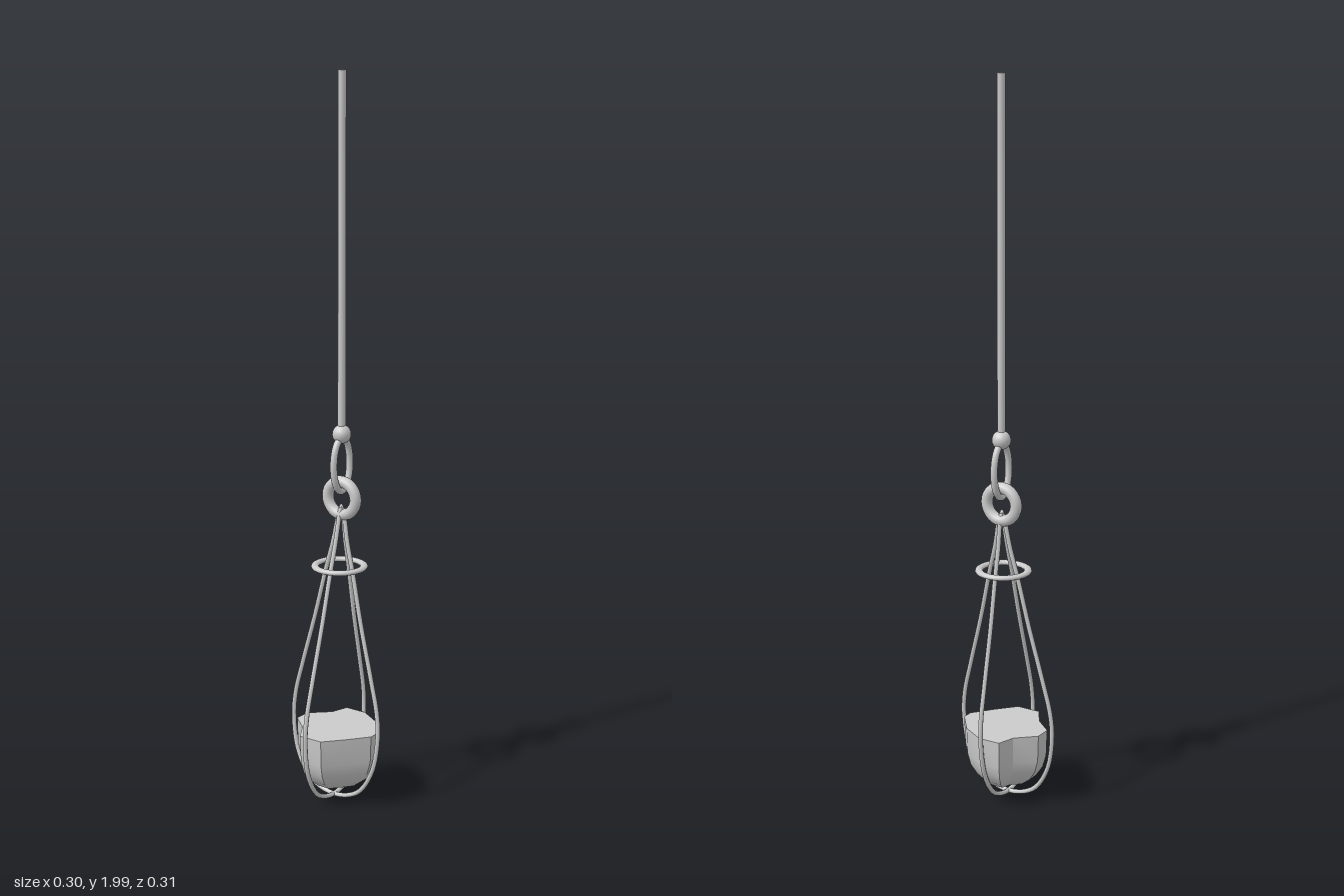
import * as THREE from 'three';
import { toCreasedNormals } from 'three/addons/utils/BufferGeometryUtils.js';

const CX = 0.03, CZ = -0.005; // axis of the hanging rod
const material = new THREE.MeshStandardMaterial({ color: 0xcccccc });

export function createModel() {
  const model = new THREE.Group();
  model.name = 'hangingLantern';

  const add = (name, geometry, x = 0, y = 0, z = 0) => {
    const mesh = new THREE.Mesh(geometry, material);
    mesh.name = name;
    mesh.position.set(x, y, z);
    model.add(mesh);
    return mesh;
  };

  // Rod and the ball at its lower end
  add('rod', new THREE.CylinderGeometry(0.011, 0.011, 0.96, 12), CX, 1.52, CZ);
  add('rodBall', new THREE.SphereGeometry(0.026, 16, 12), CX, 1.04, CZ);

  // Two interlocked chain links: an oval one and a thicker round one
  const oval = new THREE.CatmullRomCurve3(
    Array.from({ length: 16 }, (_, i) => {
      const a = (i / 16) * Math.PI * 2;
      return new THREE.Vector3(0.037 * Math.cos(a), 0.074 * Math.sin(a), 0);
    }), true);
  add('upperLink', new THREE.TubeGeometry(oval, 40, 0.0095, 10, true), CX, 0.955, CZ);
  add('lowerLink', new THREE.TorusGeometry(0.046, 0.016, 12, 28).rotateY(Math.PI / 2), CX, 0.862, CZ);

  // Flattened collar ring around the wires
  const collar = new THREE.TorusGeometry(0.067, 0.011, 10, 28).rotateX(Math.PI / 2).scale(1, 0.65, 1);
  add('collarRing', collar, 0.02, 0.672, CZ);

  // Teardrop wire loops: [half width, height]
  const teardrop = [[0.008, 0.82], [0.024, 0.74], [0.045, 0.66], [0.078, 0.52], [0.118, 0.37],
    [0.14, 0.28], [0.145, 0.21], [0.128, 0.11], [0.08, 0.037], [0, 0.012]];
  const wire = (name, yaw, spread) => {
    const place = ([w, y], side) => {
      const r = side * w * spread;
      const lean = -0.006 + 0.035 * Math.pow(y / 0.83, 1.3);
      return new THREE.Vector3(lean + r * Math.cos(yaw), y, CZ - r * Math.sin(yaw));
    };
    const points = [
      new THREE.Vector3(0.028, 0.84, CZ),
      ...teardrop.map((p) => place(p, -1)),
      ...teardrop.slice(0, -1).reverse().map((p) => place(p, 1)),
    ];
    add(name, new THREE.TubeGeometry(new THREE.CatmullRomCurve3(points, true), 110, 0.0065, 8, true));
  };
  wire('sideWire', -0.02 + 0.04, 0.98);
  wire('frontBackWire', Math.PI / 2 - 0.04, 1.02);

  // Faceted bowl block: angular outline shrinking toward a rounded bottom
  const outline = [[-0.122, -0.035], [-0.065, -0.07], [-0.02, -0.122], [0.027, -0.122],
    [0.075, -0.07], [0.125, -0.055], [0.125, 0.008], [0.085, 0.075],
    [0.02, 0.125], [-0.012, 0.125], [-0.07, 0.08], [-0.122, 0.035]];
  const levels = [[0.215, 0], [0.215, 1], [0.14, 0.98], [0.105, 0.9], [0.075, 0.74], [0.052, 0.5], [0.038, 0.2], [0.036, 0]];
  const n = outline.length;
  const vertices = [], faces = [];
  for (const [y, s] of levels) for (const [x, z] of outline) vertices.push(x * s, y, z * s);
  for (let l = 0; l < levels.length - 1; l++) {
    for (let i = 0; i < n; i++) {
      const a = l * n + i, b = l * n + (i + 1) % n, c = a + n, d = b + n;
      if (levels[l][1] > 0) faces.push(a, b, c);
      if (levels[l + 1][1] > 0) faces.push(b, d, c);
    }
  }
  const bowl = new THREE.BufferGeometry();
  bowl.setAttribute('position', new THREE.Float32BufferAttribute(vertices, 3));
  bowl.setIndex(faces);
  add('bowl', toCreasedNormals(bowl, 0.45));

  return model;
}
